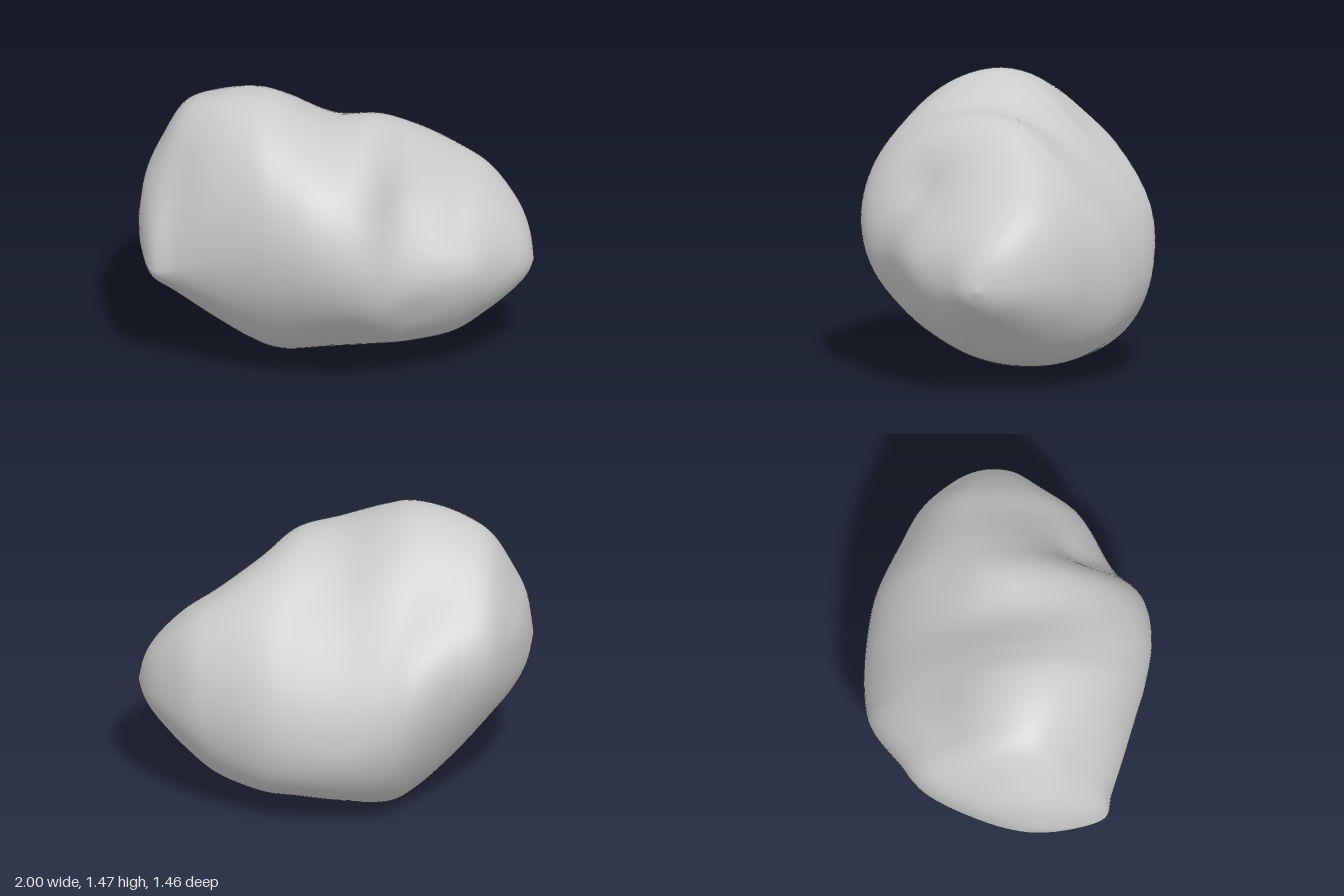
import * as THREE from 'three';
import { mergeVertices } from 'three/addons/utils/BufferGeometryUtils.js';

// Cross-sections along x: the highest, frontmost, lowest and rearmost point of each
//  x, topY, topZ, frontY, frontZ, bottomY, bottomZ, backY, backZ
const SECTIONS = [
  [-1.00, 0.76, 0.13, 0.76, 0.13, 0.76, 0.13, 0.76, 0.13],
  [-0.97, 0.98, 0.08, 0.70, 0.30, 0.62, 0.14, 0.84, -0.07],
  [-0.90, 1.15, 0.06, 0.63, 0.46, 0.50, 0.12, 0.88, -0.27],
  [-0.78, 1.35, 0.05, 0.66, 0.50, 0.38, 0.06, 0.89, -0.48],
  [-0.60, 1.44, 0.08, 0.74, 0.57, 0.21, -0.06, 0.83, -0.59],
  [-0.40, 1.47, 0.10, 0.80, 0.64, 0.055, -0.14, 0.70, -0.70],
  [-0.25, 1.43, 0.12, 0.82, 0.69, 0.00, -0.17, 0.58, -0.73],
  [-0.03, 1.34, 0.15, 0.81, 0.73, 0.03, -0.17, 0.50, -0.73],
  [0.20, 1.32, 0.04, 0.74, 0.70, 0.065, -0.16, 0.50, -0.70],
  [0.38, 1.23, -0.06, 0.64, 0.57, 0.08, -0.15, 0.52, -0.65],
  [0.60, 1.09, -0.15, 0.62, 0.45, 0.14, -0.13, 0.55, -0.53],
  [0.76, 0.98, -0.16, 0.60, 0.34, 0.26, -0.10, 0.57, -0.43],
  [0.90, 0.83, -0.11, 0.58, 0.18, 0.39, -0.05, 0.58, -0.27],
  [0.97, 0.70, -0.05, 0.57, 0.09, 0.48, -0.02, 0.57, -0.14],
  [1.00, 0.56, 0, 0.56, 0, 0.56, 0, 0.56, 0],
];

// Fullness of each section's quarters (1 = elliptical, less = flattened):
// upper front, lower front, lower back, upper back
const FULLNESS = [
  [1, 1, 1, 1],
  [0.97, 1, 1, 0.97],
  [0.92, 0.98, 0.98, 0.94],
  [0.91, 0.99, 0.96, 0.91],
  [0.97, 1, 0.95, 0.87],
  [1, 0.99, 0.95, 0.85],
  [1, 0.98, 0.97, 0.90],
  [1, 0.97, 1, 0.94],
  [0.98, 0.97, 1.03, 0.92],
  [0.92, 0.97, 1.04, 0.94],
  [0.92, 0.98, 1.02, 0.97],
  [0.96, 0.99, 1, 1],
  [1, 1, 1, 1],
  [1, 1, 1, 1],
  [1, 1, 1, 1],
];

// Shallow hollows (positive) and swellings (negative): x, y, z, radius, depth
const DENTS = [
  [0.38, 1.00, 0.38, 0.15, 0.025],
  [0.12, 0.33, 0.52, 0.11, 0.015],
  [0.45, 0.45, 0.50, 0.12, 0.015],
  [0.68, 0.68, 0.38, 0.16, -0.02],
  [0.20, 1.20, -0.32, 0.16, 0.015],
];

// Smooth interpolation of every value in a table of rows
function sample(rows, t) {
  const last = rows.length - 1;
  const i = Math.min(Math.floor(t), last - 1), u = t - i;
  const row = k => rows[Math.max(0, Math.min(last, k))];
  const [a, b, c, d] = [row(i - 1), row(i), row(i + 1), row(i + 2)];
  return b.map((v, k) => v + 0.5 * u * (c[k] - a[k] +
    u * (2 * a[k] - 5 * v + 4 * c[k] - d[k] + u * (3 * (v - c[k]) + d[k] - a[k]))));
}

// Point on a section: four rounded quarters joined at the extreme points
function sectionPoint(section, fullness, angle) {
  const [x, ty, tz, fy, fz, by, bz, ky, kz] = section;
  const sin = Math.sin(angle), cos = Math.cos(angle);
  const [sy, sz] = sin >= 0 ? [fy, fz] : [ky, kz];
  const [ey, ez] = cos >= 0 ? [ty, tz] : [by, bz];
  const quarter = Math.min(3, Math.floor(angle / (Math.PI / 2)));
  const fill = 1 - (1 - fullness[quarter]) * Math.sin(2 * angle) ** 2;
  return new THREE.Vector3(x,
    sy + (ey - sy) * Math.abs(cos) * fill,
    ez + (sz - ez) * Math.abs(sin) * fill);
}

function rockGeometry(steps = 112, sides = 96) {
  const positions = [], index = [], center = new THREE.Vector3(0, 0.7, 0);
  for (let i = 0; i <= steps; i++) {
    const t = i / steps * (SECTIONS.length - 1);
    const section = sample(SECTIONS, t), fullness = sample(FULLNESS, t);
    for (let j = 0; j < sides; j++) {
      const p = sectionPoint(section, fullness, j / sides * Math.PI * 2);
      const inward = center.clone().sub(p).normalize();
      let push = 0;
      for (const [x, y, z, r, depth] of DENTS) {
        const d2 = (p.x - x) ** 2 + (p.y - y) ** 2 + (p.z - z) ** 2;
        push += depth * Math.exp(-d2 / (r * r));
      }
      p.addScaledVector(inward, push);
      positions.push(p.x, Math.max(0, p.y), p.z);
      // The first and last rings shrink to a point, so they get one triangle per side
      const a = i * sides + j, b = i * sides + (j + 1) % sides;
      if (i < steps - 1) index.push(b, b + sides, a + sides);
      if (i > 0 && i < steps) index.push(a, b, a + sides);
    }
  }
  const geometry = new THREE.BufferGeometry();
  geometry.setAttribute('position', new THREE.Float32BufferAttribute(positions, 3));
  geometry.setIndex(index);
  const merged = mergeVertices(geometry, 1e-5);
  merged.computeVertexNormals();
  return merged;
}

export function createModel() {
  const group = new THREE.Group();
  group.name = 'boulder';
  const rock = new THREE.Mesh(rockGeometry(), new THREE.MeshStandardMaterial({ color: 0xcccccc }));
  rock.name = 'rock';
  group.add(rock);
  return group;
}
